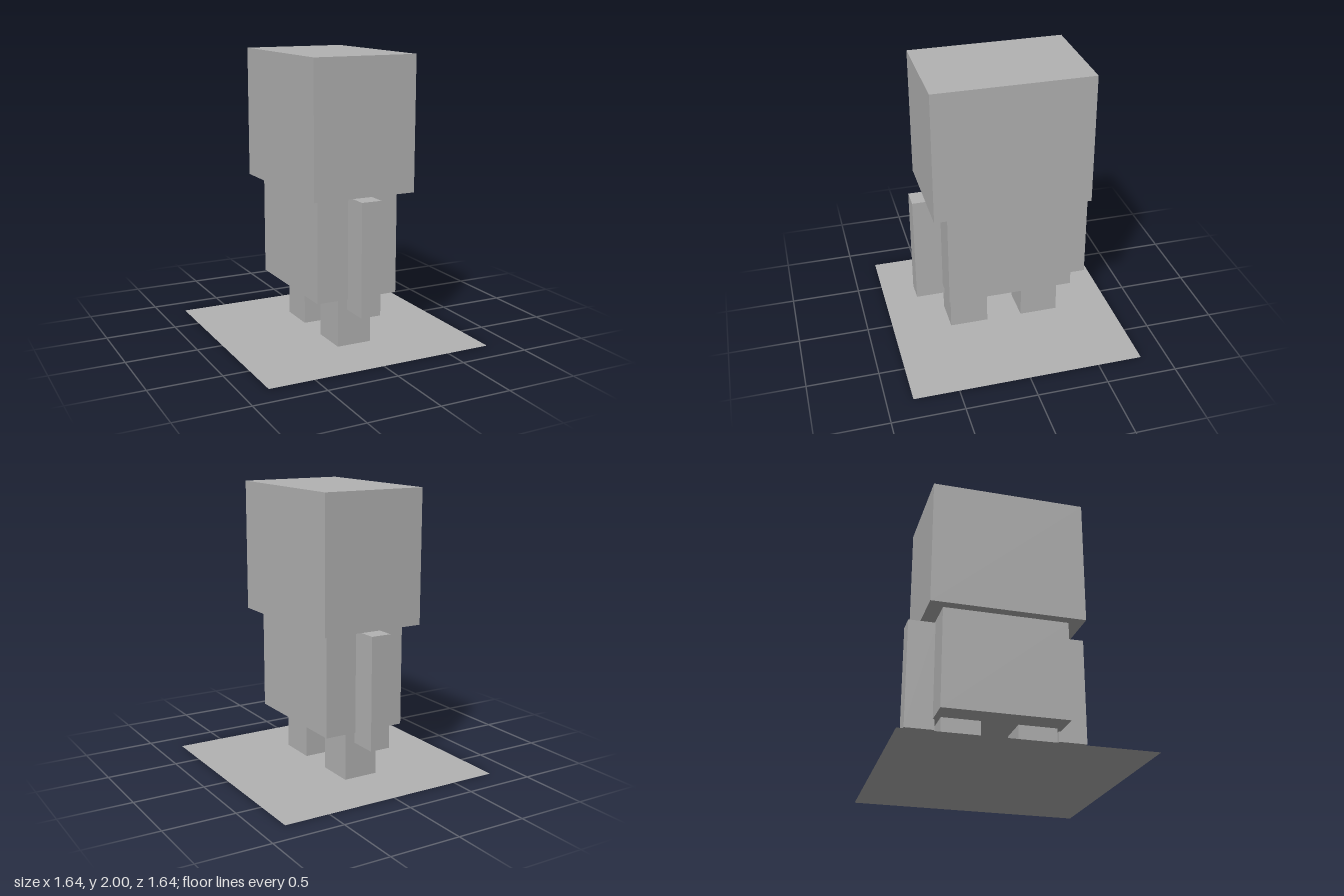
import * as THREE from 'three';

export function createModel() {
  const model = new THREE.Group();
  const grey = new THREE.MeshStandardMaterial({ color: 0xb2b2b2 });
  grey.name = 'plain grey';
  // the ground sheet is a single open surface
  const sheetGrey = new THREE.MeshStandardMaterial({ color: 0xb2b2b2, side: THREE.DoubleSide });
  sheetGrey.name = 'sheet grey';

  const figure = new THREE.Group();
  figure.name = 'figure';
  figure.position.z = -0.005;
  model.add(figure);

  // block spanning bottom to top, centred on x = 0
  function block(name, width, bottom, top, depth, z = 0) {
    const mesh = new THREE.Mesh(new THREE.BoxGeometry(width, top - bottom, depth), grey);
    mesh.name = name;
    mesh.position.set(0, (bottom + top) / 2, z);
    figure.add(mesh);
  }

  block('head', 0.746, 1.075, 2, 1.1);
  block('body', 0.6, 0.355, 1.075, 0.894);

  // arms and legs, mirrored front to back
  for (const [side, s] of [['front', 1], ['back', -1]]) {
    block(side + 'Arm', 0.144, 0.28, 1.065, 0.205, s * 0.537);
    block(side + 'Leg', 0.25, 0.01, 0.355, 0.275, s * 0.267);
  }

  // flat ground sheet
  const ground = new THREE.Mesh(new THREE.PlaneGeometry(1.637, 1.637), sheetGrey);
  ground.name = 'groundSheet';
  ground.rotation.x = -Math.PI / 2;
  model.add(ground);

  return model;
}
